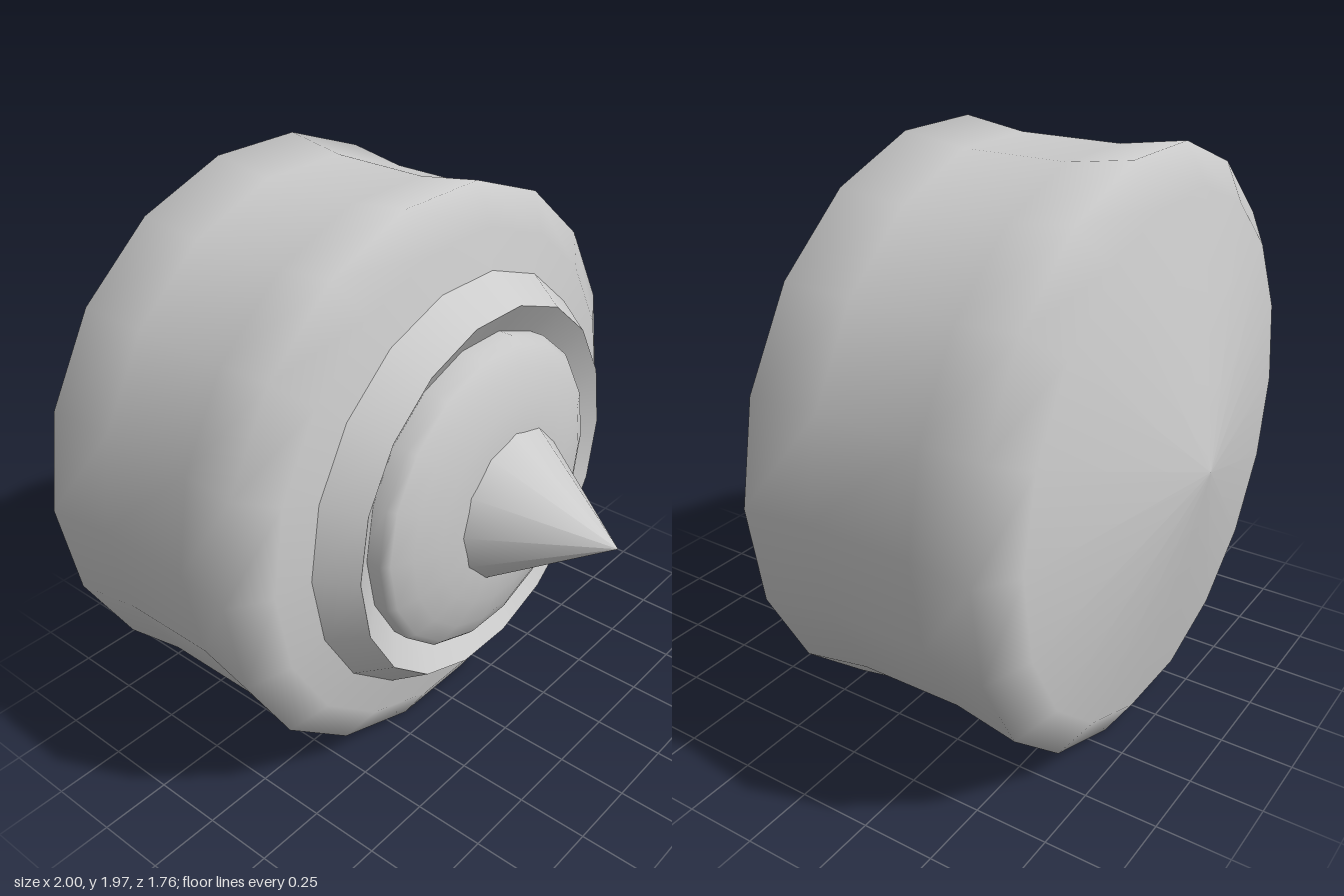
import * as THREE from 'three';

const AXIS_Y = 0.985; // height of the centre axis

export function createModel() {
  const model = new THREE.Group();
  const material = new THREE.MeshStandardMaterial({ color: 0xcccccc });

  // Turn a profile of [radius, z] points, listed back to front, about the z axis
  function turned(name, profile, sides, parent = model) {
    const points = profile.map(([r, z]) => new THREE.Vector2(r, z));
    const geometry = new THREE.LatheGeometry(points, sides, Math.PI / 2);
    geometry.rotateX(Math.PI / 2);
    const mesh = new THREE.Mesh(geometry, material);
    mesh.name = name;
    parent.add(mesh);
    return mesh;
  }

  // Drum with flared rims and shallow conical ends
  turned('body', [
    [0, -0.88], [0.868, -0.73], [1, -0.645], [0.967, -0.42],
    [0.967, -0.06], [1, 0.162], [0.868, 0.243], [0, 0.393],
  ], 18);

  // Raised collar: separate slopes keep its front ridge sharp
  const collar = new THREE.Group();
  collar.name = 'collar';
  model.add(collar);
  turned('collarOuterSlope', [[0.737, 0.25], [0.737, 0.265], [0.655, 0.39]].slice(1), 18, collar);
  turned('collarInnerSlope', [[0.655, 0.39], [0.54, 0.315]], 18, collar);

  // Flattened dome inside the collar
  turned('dome', [
    [0.553, 0.29], [0.553, 0.375], [0.53, 0.4], [0.46, 0.434],
    [0.36, 0.463], [0.25, 0.478], [0, 0.488],
  ], 18);

  // Central spike
  turned('spike', [[0.265, 0.475], [0, 0.88]], 12);

  model.children.forEach((part) => { part.position.y = AXIS_Y; });
  return model;
}
